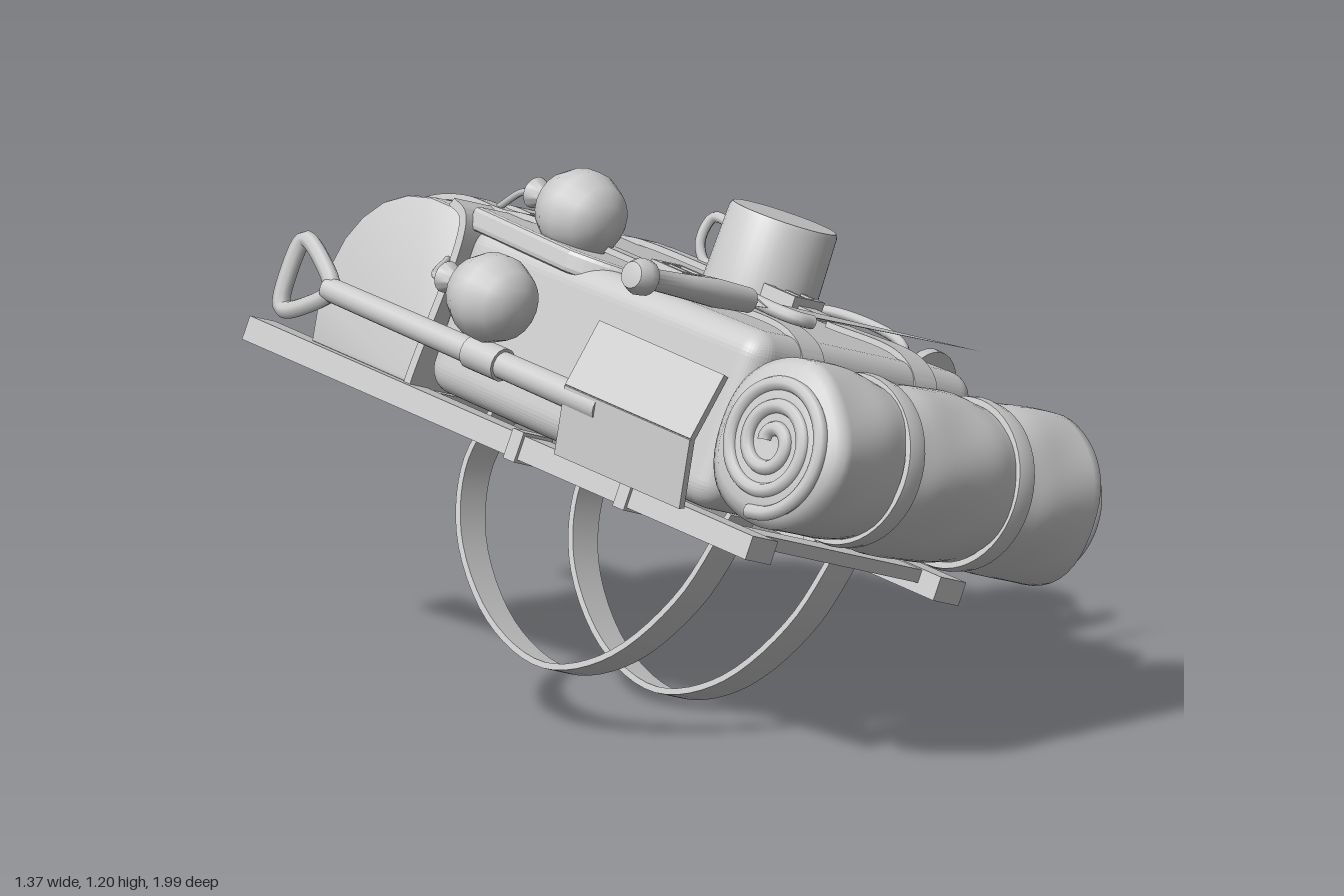
import * as THREE from 'three';
import { toCreasedNormals } from 'three/addons/utils/BufferGeometryUtils.js';
import { RoundedBoxGeometry } from 'three/addons/geometries/RoundedBoxGeometry.js';

const material = new THREE.MeshStandardMaterial({ color: 0xcccccc, side: THREE.DoubleSide });
const V = (x, y, z) => new THREE.Vector3(x, y, z);

function add(parent, name, geometry, x = 0, y = 0, z = 0) {
  const mesh = new THREE.Mesh(geometry, material);
  mesh.name = name;
  mesh.position.set(x, y, z);
  parent.add(mesh);
  return mesh;
}

// Side outline given as (y, z) pairs, extruded across x and centred on x = 0
function sideExtrude(points, width, bevel = 0) {
  const shape = new THREE.Shape(points.map(p => new THREE.Vector2(p[0], p[1])));
  const geo = new THREE.ExtrudeGeometry(shape, {
    depth: width - 2 * bevel, bevelEnabled: bevel > 0, bevelSize: bevel, bevelThickness: bevel,
    bevelOffset: -bevel, bevelSegments: 2 });
  geo.translate(0, 0, -width / 2 + bevel);
  geo.applyMatrix4(new THREE.Matrix4().makeBasis(V(0, 1, 0), V(0, 0, 1), V(1, 0, 0)));
  return toCreasedNormals(geo, 0.6);
}

// Flat strap that follows a (y, z) path
function strap(path, width, thick = 0.014) {
  const curve = new THREE.CatmullRomCurve3(path.map(p => V(p[0], p[1], 0)), false, 'centripetal');
  const n = 40, a = [], b = [];
  for (let i = 0; i <= n; i++) {
    const p = curve.getPoint(i / n), t = curve.getTangent(i / n);
    a.push([p.x - t.y * thick / 2, p.y + t.x * thick / 2]);
    b.unshift([p.x + t.y * thick / 2, p.y - t.x * thick / 2]);
  }
  return sideExtrude([...a, ...b], width);
}

const tube = (points, r, closed = false, n = 40) =>
  new THREE.TubeGeometry(new THREE.CatmullRomCurve3(points, closed), n, r, 8, closed);

const lathe = (profile, n = 32) =>
  toCreasedNormals(new THREE.LatheGeometry(profile.map(p => new THREE.Vector2(p[0], p[1])), n), 0.7);

// Rectangular ring lying in the xy plane
function ring(w, h, t, depth) {
  const s = new THREE.Shape([[-w, -h], [w, -h], [w, h], [-w, h]].map(p => new THREE.Vector2(p[0] / 2, p[1] / 2)));
  const a = w / 2 - t, b = h / 2 - t;
  s.holes.push(new THREE.Path([[-a, -b], [-a, b], [a, b], [a, -b]].map(p => new THREE.Vector2(p[0], p[1]))));
  return new THREE.ExtrudeGeometry(s, { depth, bevelEnabled: false });
}

export function createModel() {
  const model = new THREE.Group();
  const pack = new THREE.Group();
  pack.name = 'backpack';
  model.add(pack);
  // The pack is built upright, then laid down on its shoulder straps
  pack.quaternion.setFromRotationMatrix(new THREE.Matrix4().makeBasis(
    V(0.905, -0.317, -0.284), V(-0.254, 0.134, -0.958), V(0.342, 0.939, 0.041)));
  pack.position.set(0, 0.6, 0);
  const cx = -0.06;

  // Main bag, narrower towards the top and softly bulged
  const body = new RoundedBoxGeometry(0.75, 0.97, 0.4, 6, 0.06);
  const bp = body.attributes.position;
  for (let i = 0; i < bp.count; i++) {
    const y = bp.getY(i), z = bp.getZ(i);
    bp.setX(i, bp.getX(i) * (0.93 - 0.15 * y));
    if (z > 0) bp.setZ(i, z - 0.03 * y);
  }
  body.computeVertexNormals();
  add(pack, 'mainBag', body, cx, -0.02, 0.12);

  // Front flap with a curved lower edge
  const f = new THREE.Shape();
  f.moveTo(-0.31, 0.46);
  f.lineTo(-0.34, 0.14);
  f.quadraticCurveTo(-0.3, 0.02, -0.2, 0);
  f.quadraticCurveTo(0, -0.03, 0.2, 0);
  f.quadraticCurveTo(0.3, 0.02, 0.34, 0.14);
  f.lineTo(0.31, 0.46);
  add(pack, 'frontFlap', new THREE.ExtrudeGeometry(f, {
    depth: 0.03, bevelSize: 0.01, bevelThickness: 0.012, bevelSegments: 2 }), cx, 0, 0.29);

  // Top pouch
  add(pack, 'topPouch', sideExtrude([[0.465, -0.09], [0.79, -0.09], [0.81, 0], [0.81, 0.08], [0.795, 0.15],
    [0.765, 0.21], [0.72, 0.26], [0.66, 0.295], [0.59, 0.312], [0.5, 0.312], [0.465, 0.29]], 0.64, 0.012), -0.075);
  add(pack, 'pouchSeam', strap([[0.475, -0.09], [0.475, 0.3], [0.52, 0.322]], 0.655, 0.02), -0.075);
  add(pack, 'pouchTongue', strap([[0.82, 0.06], [0.79, 0.18], [0.71, 0.28], [0.6, 0.322], [0.53, 0.325]], 0.1), cx - 0.02);

  for (const x of [-0.25, 0.13]) {
    // Closing straps, buckles and lower tabs
    add(pack, 'closingStrap', strap([[0.8, -0.09], [0.82, 0.07], [0.785, 0.185], [0.71, 0.28], [0.6, 0.323],
      [0.48, 0.328], [0.4, 0.34], [0.1, 0.345], [-0.16, 0.345]], 0.06), x);
    add(pack, 'buckle', ring(0.1, 0.1, 0.016, 0.03), x, -0.05, 0.34);
    add(pack, 'bucklePin', new THREE.BoxGeometry(0.012, 0.09, 0.015), x, -0.05, 0.362);
    add(pack, 'lowerTab', strap([[-0.2, 0.34], [-0.43, 0.34], [-0.495, 0.3], [-0.51, 0.22], [-0.51, 0]], 0.075), x);
    // Shoulder straps
    add(pack, 'shoulderStrap', strap([[0.31, -0.08], [0.335, -0.22], [0.28, -0.37], [0.12, -0.51], [-0.07, -0.555],
      [-0.24, -0.48], [-0.38, -0.3], [-0.45, -0.08]], 0.085), x);
  }

  // Carrying frame
  for (const x of [-0.385, 0.25]) {
    add(pack, 'frameRail', new THREE.BoxGeometry(0.085, 1.61, 0.055), x, 0.148, -0.115);
    for (const y of [-0.26, 0.09]) add(pack, 'railLoop', new THREE.BoxGeometry(0.1, 0.035, 0.07), x, y, -0.115);
  }
  for (const y of [-0.56, 0.48]) add(pack, 'frameCrossbar', new THREE.BoxGeometry(0.6, 0.075, 0.03), cx, y, -0.105);

  // Bedroll with uneven folds, pinched by two bands
  const roll = new THREE.Group();
  roll.name = 'bedroll';
  roll.position.set(-0.045, -0.69, 0.13);
  pack.add(roll);
  const bands = [-0.19, 0.18], profile = [[0, -0.46], [0.1, -0.465], [0.15, -0.465], [0.175, -0.445]];
  for (let i = 0; i <= 40; i++) {
    const y = -0.43 + 0.86 * i / 40;
    const pinch = bands.reduce((s, b) => s + Math.exp(-(((y - b) / 0.06) ** 2)), 0);
    profile.push([0.192 - 0.014 * pinch, y]);
  }
  profile.push([0.175, 0.445], [0.15, 0.465], [0.1, 0.465], [0, 0.46]);
  const cloth = new THREE.LatheGeometry(profile.map(p => new THREE.Vector2(p[0], p[1])), 48);
  const cp = cloth.attributes.position;
  for (let i = 0; i < cp.count; i++) {
    const x = cp.getX(i), y = cp.getY(i), z = cp.getZ(i), a = Math.atan2(z, x);
    const k = 1 + 0.022 * Math.sin(3 * a + 9 * y) + 0.014 * Math.sin(5 * a - 17 * y);
    cp.setXYZ(i, x * k, y, z * k);
  }
  cloth.rotateZ(-Math.PI / 2);
  cloth.computeVertexNormals();
  add(roll, 'rolledCloth', cloth);
  for (const x of bands) {
    const band = lathe([[0.178, -0.025], [0.192, -0.025], [0.196, 0], [0.192, 0.025], [0.178, 0.025]], 48);
    band.rotateZ(-Math.PI / 2);
    add(roll, 'rollBand', band, x);
  }
  for (const side of [-1, 1]) {
    const spiral = [];
    for (let i = 0; i <= 50; i++) {
      const a = i / 50 * Math.PI * 5.5, r = 0.02 + 0.14 * i / 50;
      spiral.push(V(side * 0.462, r * Math.cos(a), r * Math.sin(a)));
    }
    add(roll, 'rollSpiral', tube(spiral, 0.017, false, 150));
  }

  // Sword tucked under the lower tabs
  const sword = new THREE.Group();
  sword.name = 'sword';
  sword.position.set(0, -0.3, 0.37);
  pack.add(sword);
  const grip = lathe([[0, -0.69], [0.03, -0.685], [0.042, -0.66], [0.04, -0.635], [0.024, -0.615],
    [0.028, -0.5], [0.033, -0.4], [0.028, -0.29], [0, -0.28]], 16);
  grip.rotateZ(-Math.PI / 2);
  add(sword, 'swordGrip', grip);
  add(sword, 'swordGuard', tube([V(-0.37, 0.06, 0), V(-0.34, 0.11, 0), V(-0.28, 0.11, 0), V(-0.25, 0.05, 0),
    V(-0.26, -0.06, 0), V(-0.24, -0.11, 0), V(-0.2, -0.12, 0)], 0.016));
  const blade = new THREE.ConeGeometry(0.042, 0.77, 4).toNonIndexed();
  blade.scale(1, 1, 0.2);
  blade.computeVertexNormals();
  blade.rotateZ(-Math.PI / 2);
  add(sword, 'swordBlade', blade, 0.105, -0.01);

  // Upturned cup
  const cup = lathe([[0.115, 0], [0.13, 0], [0.125, 0.17], [0.12, 0.18], [0, 0.18]], 40);
  cup.rotateX(Math.PI / 2);
  add(pack, 'cup', cup, 0.176, 0.09, 0.33);
  add(pack, 'cupHandle', tube([V(0.15, 0.2, 0.45), V(0.145, 0.26, 0.45), V(0.14, 0.27, 0.39),
    V(0.145, 0.24, 0.35), V(0.15, 0.2, 0.36)], 0.012));

  // Hanging drawstring sacks
  const sackProfile = [[0, -0.1], [0.045, -0.093], [0.08, -0.07], [0.1, -0.02], [0.098, 0.02], [0.075, 0.065],
    [0.04, 0.1], [0.02, 0.122], [0.022, 0.132], [0.036, 0.155], [0.024, 0.155], [0, 0.13]];
  for (const [x, y, z, end] of [[-0.31, 0.235, 0.4, V(-0.25, 0.52, 0.33)], [-0.54, 0.2, 0.18, V(-0.4, 0.48, 0.2)]]) {
    const sack = add(pack, 'sack', lathe(sackProfile, 20), x, y, z);
    sack.rotation.z = -0.1;
    add(pack, 'sackCord', tube([V(x + 0.015, y + 0.12, z), V(x + 0.03, y + 0.2, z - 0.01), end], 0.008));
  }

  // Lantern on the side
  const lantern = new THREE.Group();
  lantern.name = 'lantern';
  lantern.position.set(0.505, -0.18, 0.2);
  lantern.rotation.z = 0.2;
  pack.add(lantern);
  add(lantern, 'lanternBody', lathe([[0, 0], [0.13, 0], [0.132, 0.02], [0.11, 0.045], [0.062, 0.065], [0.075, 0.09],
    [0.078, 0.13], [0.055, 0.15], [0.052, 0.17], [0.074, 0.2], [0.082, 0.235], [0.072, 0.28], [0.052, 0.31],
    [0.068, 0.315], [0.068, 0.33], [0.055, 0.335], [0.055, 0.365], [0.066, 0.37], [0.064, 0.39], [0.035, 0.4],
    [0.035, 0.425], [0, 0.435]]));
  add(lantern, 'lanternFrame', tube([V(0, 0.08, -0.08), V(0, 0.1, -0.115), V(0, 0.33, -0.115), V(0, 0.36, -0.08),
    V(0, 0.36, 0.08), V(0, 0.33, 0.115), V(0, 0.1, 0.115), V(0, 0.08, 0.08)], 0.012, true, 80));
  for (let i = 0; i < 10; i++) {
    const a = i / 10 * Math.PI * 2;
    add(lantern, 'lanternVent', new THREE.BoxGeometry(0.014, 0.03, 0.014), 0.058 * Math.cos(a), 0.35, 0.058 * Math.sin(a));
  }
  add(pack, 'lanternWire', tube([V(0.42, 0.2, 0.29), V(0.34, 0.37, 0.27), V(0.24, 0.49, 0.26),
    V(0.34, 0.37, 0.2), V(0.42, 0.2, 0.12)], 0.006));

  // Spade on the other side
  const spade = new THREE.Group();
  spade.name = 'spade';
  spade.position.set(-0.485, 0, 0.045);
  pack.add(spade);
  add(spade, 'spadeShaft', new THREE.CylinderGeometry(0.027, 0.033, 0.88, 16), 0, 0.27);
  add(spade, 'spadeSocket', new THREE.CylinderGeometry(0.038, 0.038, 0.1, 16), 0, 0.2);
  add(spade, 'spadeHandle', tube([V(0, 0.7, 0), V(0, 0.75, -0.05), V(0, 0.82, -0.08), V(0, 0.835, 0),
    V(0, 0.82, 0.08), V(0, 0.75, 0.05)], 0.02, true, 48));
  for (const side of [-1, 1]) {
    const half = add(spade, 'spadeBlade', new THREE.BoxGeometry(0.016, 0.4, 0.16), -0.005, -0.27, 0.02 + side * 0.077);
    half.rotation.y = side * 0.25;
  }
  return model;
}
